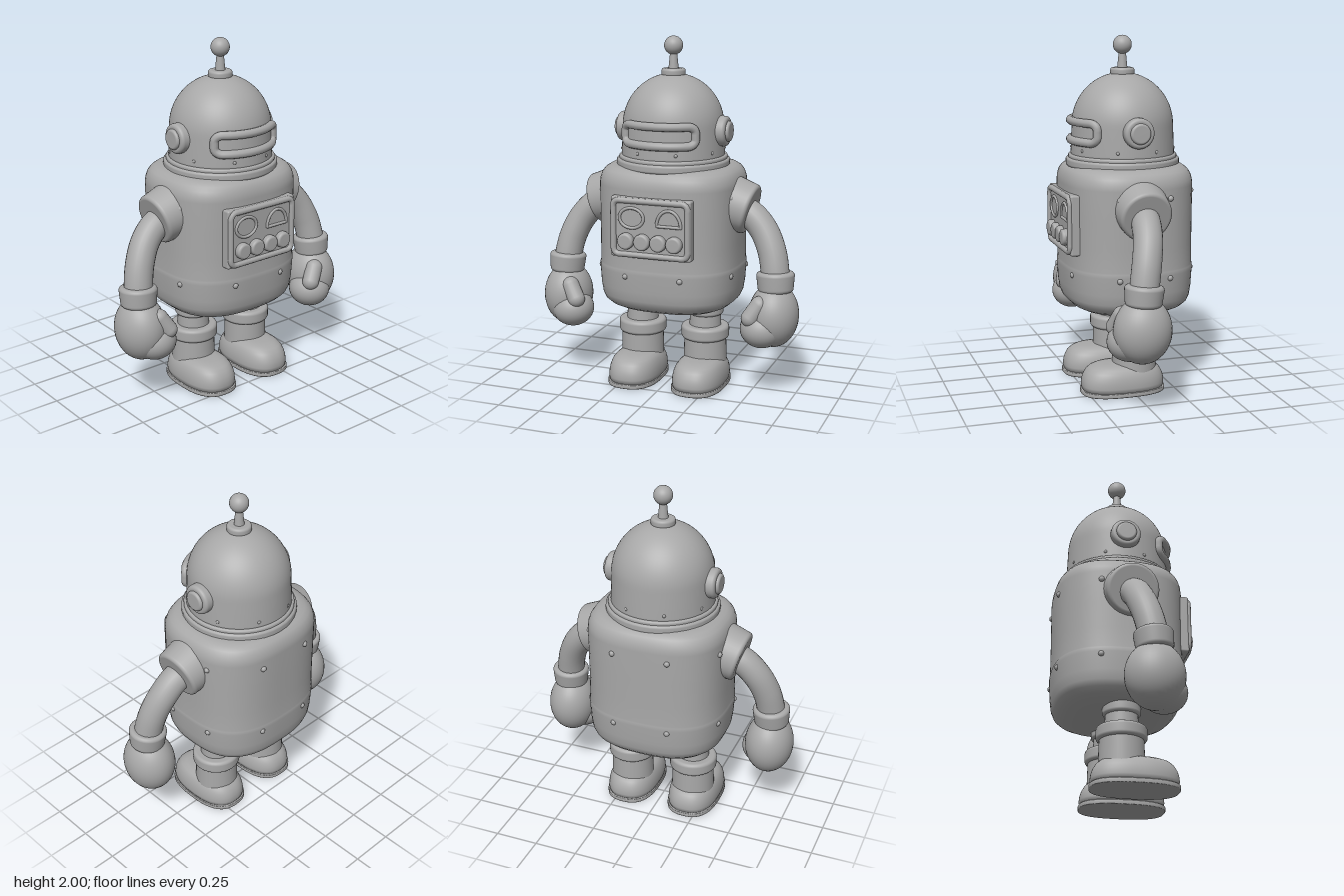
import * as THREE from 'three';
import { mergeVertices } from 'three/addons/utils/BufferGeometryUtils.js';
import { RoundedBoxGeometry } from 'three/addons/geometries/RoundedBoxGeometry.js';

const V2 = (x, y) => new THREE.Vector2(x, y);
const V3 = (x, y, z) => new THREE.Vector3(x, y, z);

// Half size of a superellipse section in the unit direction (x, z)
const squareness = (x, z, n) => 1 / Math.pow(Math.pow(Math.abs(x), n) + Math.pow(Math.abs(z), n), 1 / n);

// Lathe of [radius, y] rows, squared off in plan and stretched to sx, sz
function squareLathe(rows, sx, sz, n) {
  let geo = new THREE.LatheGeometry(rows.map(([r, y]) => V2(r, y)), 72);
  const p = geo.attributes.position;
  for (let i = 0; i < p.count; i++) {
    const x = p.getX(i), z = p.getZ(i), r = Math.hypot(x, z);
    const k = r > 1e-6 ? squareness(x / r, z / r, n) : 1;
    p.setXYZ(i, x * k * sx, p.getY(i), z * k * sz);
  }
  geo.deleteAttribute('uv');
  geo.deleteAttribute('normal');
  geo = mergeVertices(geo, 1e-5);
  geo.computeVertexNormals();
  return geo;
}

// Disc with rounded rims, axis along y, centred on the origin
function disc(r, h, b, inner = r) {
  const pts = [V2(0, -h / 2)];
  for (let i = 0; i <= 5; i++) {
    const a = (i / 5) * Math.PI / 2;
    pts.push(V2(inner - b + b * Math.sin(a), -h / 2 + b - b * Math.cos(a)));
  }
  for (let i = 0; i <= 5; i++) {
    const a = (i / 5) * Math.PI / 2;
    pts.push(V2(r - b + b * Math.cos(a), h / 2 - b + b * Math.sin(a)));
  }
  pts.push(V2(0, h / 2));
  return new THREE.LatheGeometry(pts, 40);
}

function roundedRect(w, h, r) {
  const s = new THREE.Shape();
  s.absarc(w - r, h - r, r, 0, Math.PI / 2);
  s.absarc(-w + r, h - r, r, Math.PI / 2, Math.PI);
  s.absarc(-w + r, -h + r, r, Math.PI, Math.PI * 1.5);
  s.absarc(w - r, -h + r, r, Math.PI * 1.5, Math.PI * 2);
  s.closePath();
  return s;
}

// Raised rim following a flat outline, laid on a surface z = depth(x)
function rim(shape, tube, depth) {
  const pts = shape.getSpacedPoints(64).slice(0, -1).map((p) => V3(p.x, p.y, depth(p.x)));
  return new THREE.TubeGeometry(new THREE.CatmullRomCurve3(pts, true), 128, tube, 10, true);
}

export function createModel() {
  const root = new THREE.Group();
  const grey = new THREE.MeshStandardMaterial({ color: 0xa8a8a8 });
  grey.name = 'plain grey';

  function add(name, geo, x = 0, y = 0, z = 0, parent = root) {
    const m = new THREE.Mesh(geo, grey);
    m.name = name;
    m.position.set(x, y, z);
    parent.add(m);
    return m;
  }
  const along = (mesh, dir) => mesh.quaternion.setFromUnitVectors(V3(0, 1, 0), dir.clone().normalize());

  // Body: squared barrel with a band seam low down
  const bodyZ = -0.025, BX = 0.408, BZ = 0.365, BN = 2.7;
  add('body', squareLathe([
    [0, 0.445], [0.4, 0.447], [0.62, 0.455], [0.76, 0.468], [0.86, 0.487], [0.93, 0.512], [0.965, 0.545],
    [0.985, 0.6], [1.0, 0.7], [1.0, 0.722], [0.99, 0.73], [0.988, 0.85], [0.99, 1.0], [0.993, 1.18], [0.985, 1.21],
    [0.96, 1.24], [0.92, 1.262], [0.86, 1.278], [0.78, 1.287], [0.6, 1.29], [0, 1.29],
  ], BX, BZ, BN), 0, 0, bodyZ);

  // Rivets round the body
  const rivet = new THREE.SphereGeometry(0.017, 12, 8);
  for (const y of [0.685, 1.13]) {
    for (let i = 0; i < 8; i++) {
      const a = (i + 0.5) * Math.PI / 4, x = Math.cos(a), z = Math.sin(a), k = squareness(x, z, BN) * 0.985;
      add('bodyRivet', rivet, x * k * BX, y, bodyZ + z * k * BZ);
    }
  }

  // Head: dome on a short cylinder
  const headZ = -0.018, R = 0.287;
  const headPts = [V2(0, 1.28), V2(R + 0.006, 1.28), V2(R + 0.006, 1.35)];
  for (let i = 0; i <= 20; i++) {
    const a = (i / 20) * Math.PI / 2;
    headPts.push(V2(R * Math.cos(a), 1.5 + 0.293 * Math.sin(a)));
  }
  add('head', new THREE.LatheGeometry(headPts, 64), 0, 0, headZ);
  add('lowerNeckRing', disc(0.322, 0.05, 0.015), 0, 1.295, headZ);
  add('upperNeckRing', disc(0.308, 0.03, 0.012), 0, 1.325, headZ);
  const headRivet = new THREE.SphereGeometry(0.011, 10, 8);
  for (let i = 0; i < 8; i++) {
    const a = (i + 0.5) * Math.PI / 4;
    add('headRivet', headRivet, R * Math.cos(a), 1.37, headZ + R * Math.sin(a));
  }

  // Visor frame wrapped round the face
  const face = (x) => headZ + Math.sqrt(R * R - x * x);
  add('visorFrame', rim(roundedRect(0.205, 0.054, 0.035), 0.024, (x) => face(x) + 0.008), 0, 1.474, 0);

  // Ears
  for (const s of [1, -1]) {
    along(add('ear', disc(0.085, 0.07, 0.02), s * 0.29, 1.48, headZ), V3(s, 0, 0));
    along(add('earCap', disc(0.058, 0.03, 0.014), s * 0.327, 1.48, headZ), V3(s, 0, 0));
  }

  // Antenna
  add('antennaBase', disc(0.068, 0.045, 0.015), 0, 1.798, headZ);
  add('antennaStem', new THREE.CylinderGeometry(0.018, 0.03, 0.12, 20), 0, 1.865, headZ);
  add('antennaBall', new THREE.SphereGeometry(0.053, 28, 20), 0, 1.947, headZ);

  // Chest panel with rim, two gauges and four buttons
  const panel = new THREE.Group();
  panel.name = 'chestPanel';
  root.add(panel);
  add('panelPlate', new RoundedBoxGeometry(0.47, 0.34, 0.08, 3, 0.012), 0, 0.975, 0.312, panel);
  add('panelRim', rim(roundedRect(0.217, 0.152, 0.03), 0.017, () => 0.352), 0, 0.975, 0, panel);
  const oval = new THREE.Shape();
  oval.absellipse(0, 0, 0.07, 0.056, 0, Math.PI * 2);
  add('ovalGauge', rim(oval, 0.009, () => 0.353), -0.11, 1.03, 0, panel);
  const dome = new THREE.Shape();
  dome.absellipse(0, -0.035, 0.07, 0.09, 0, Math.PI);
  dome.closePath();
  add('domeGauge', rim(dome, 0.009, () => 0.353), 0.108, 1.03, 0, panel);
  for (const x of [-0.14, -0.045, 0.05, 0.143]) {
    const b = add('button', disc(0.046, 0.05, 0.014), x, 0.9, 0.361, panel);
    b.rotation.x = Math.PI / 2;
  }

  for (const s of [1, -1]) {
    const side = s > 0 ? 'left' : 'right';

    // Arm: shoulder cuff, bent tube and wrist cuff
    const arm = new THREE.Group();
    arm.name = side + 'Arm';
    root.add(arm);
    along(add('shoulderCuff', disc(0.145, 0.14, 0.02, 0.155), s * 0.405, 1.065, -0.008, arm), V3(s * 0.96, -0.28, 0));
    const path = new THREE.CatmullRomCurve3([
      V3(s * 0.38, 1.05, -0.01), V3(s * 0.47, 1.02, 0), V3(s * 0.55, 0.94, 0.015),
      V3(s * 0.605, 0.83, 0.04), V3(s * 0.63, 0.72, 0.06), V3(s * 0.638, 0.62, 0.07),
    ]);
    add('armTube', new THREE.TubeGeometry(path, 40, 0.08, 24), 0, 0, 0, arm);
    along(add('wristCuff', disc(0.107, 0.115, 0.022, 0.1), s * 0.636, 0.665, 0.066, arm), V3(s * -0.05, 1, -0.08));

    // Mitten hand: palm, curled fingers and thumb
    const hand = new THREE.Group();
    hand.name = side + 'Hand';
    arm.add(hand);
    const ball = new THREE.SphereGeometry(1, 36, 24);
    const palm = add('palm', ball, s * 0.63, 0.475, 0.07, hand);
    palm.scale.set(0.14, 0.183, 0.16);
    const fingers = add('curledFingers', ball, s * 0.578, 0.405, 0.125, hand);
    fingers.scale.set(0.122, 0.108, 0.125);
    fingers.rotation.y = s * -0.3;
    const thumb = add('thumb', new THREE.CapsuleGeometry(0.05, 0.09, 10, 20), s * 0.55, 0.515, 0.18, hand);
    along(thumb, V3(s * 0.5, 0.8, -0.25));

    // Leg: hip collar, thigh, knee ring and shin
    const leg = new THREE.Group();
    leg.name = side + 'Leg';
    root.add(leg);
    const lx = s * 0.195, lz = -0.025;
    add('hipCollar', disc(0.105, 0.07, 0.018), lx, 0.445, lz, leg);
    add('thigh', new THREE.CylinderGeometry(0.088, 0.094, 0.14, 32), lx, 0.38, lz, leg);
    add('kneeRing', disc(0.139, 0.08, 0.02), lx, 0.307, lz, leg);
    add('shin', new THREE.CylinderGeometry(0.121, 0.128, 0.24, 36), lx, 0.17, lz, leg);

    // Boot: flat sole and domed toe
    add('sole', squareLathe([[0, 0], [0.985, 0], [1, 0.004], [1, 0.022], [0.985, 0.026], [0, 0.026]],
      0.15, 0.243, 2.6), lx, 0, 0.045, leg);
    add('boot', squareLathe([
      [0, 0.02], [0.96, 0.02], [0.98, 0.05], [0.965, 0.08], [0.93, 0.105], [0.87, 0.13], [0.78, 0.149],
      [0.65, 0.161], [0.45, 0.168], [0, 0.17],
    ], 0.15, 0.243, 2.5), lx, 0, 0.045, leg);
  }
  return root;
}
